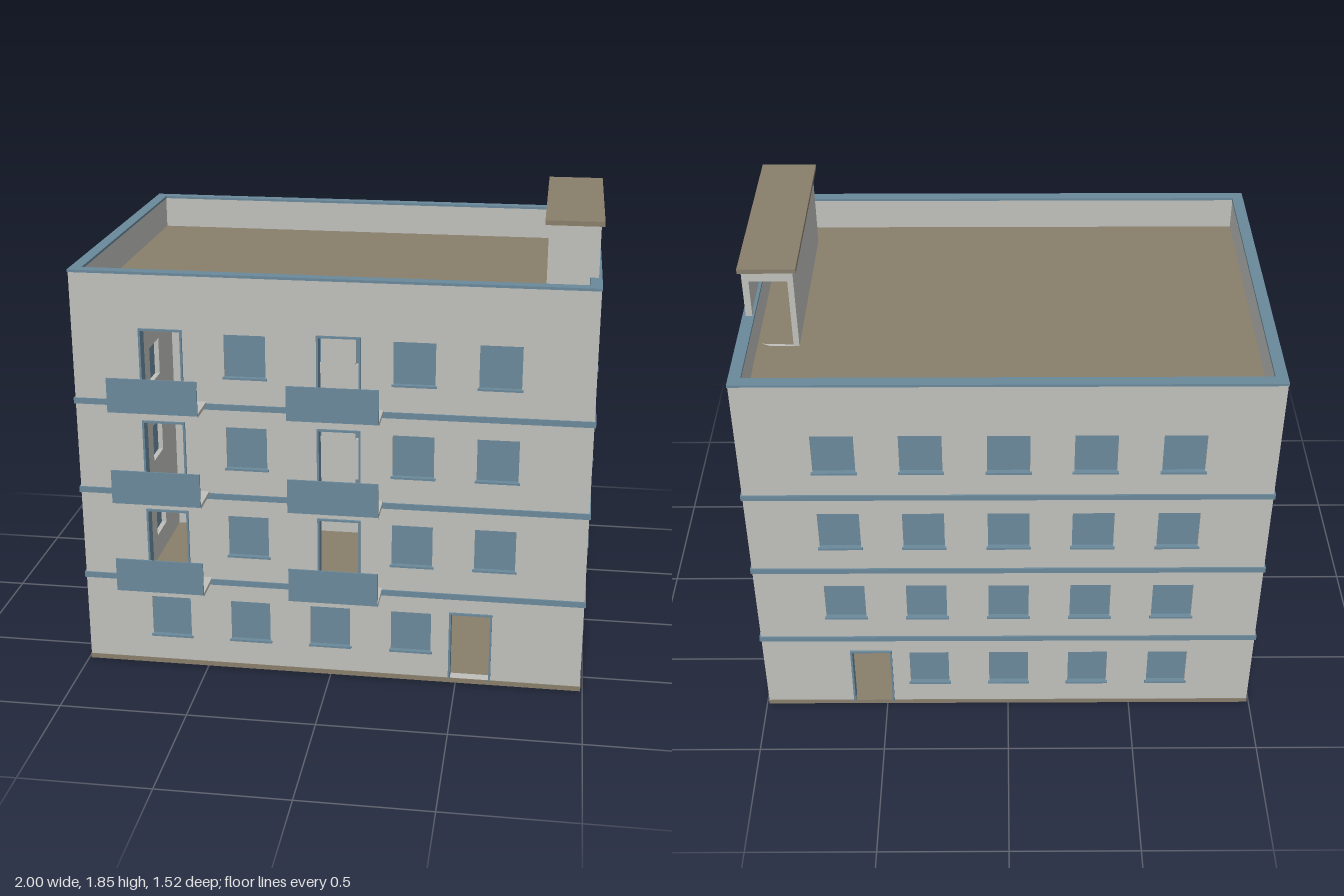
import * as THREE from 'three';

const mat = (name, color) => {
  const m = new THREE.MeshStandardMaterial({ color });
  m.name = name;
  return m;
};

export function createModel() {
  const wallGrey = mat('wall grey', 0xbfbfbb);
  const trimBlue = mat('trim blue', 0x6a899b);
  const roofTan = mat('roof tan', 0x887e6b);

  const model = new THREE.Group();
  model.name = 'apartmentBuilding';

  // Main dimensions
  const W = 1.98, D = 1.364, CZ = -0.07, T = 0.04, TOP = 1.628, ROOF = 1.5;
  const STOREY = 0.37, BASE = 0.02;
  const WIN_W = 0.158, WIN_H = 0.167, DOOR_W = 0.16, DOOR_H = 0.285;

  const add = (parent, name, geometry, material, x = 0, y = 0, z = 0) => {
    const mesh = new THREE.Mesh(geometry, material);
    mesh.name = name;
    mesh.position.set(x, y, z);
    parent.add(mesh);
    return mesh;
  };
  // Box given by its minimum and maximum corners
  const block = (parent, name, material, [x0, y0, z0], [x1, y1, z1]) =>
    add(parent, name, new THREE.BoxGeometry(x1 - x0, y1 - y0, z1 - z0), material,
      (x0 + x1) / 2, (y0 + y1) / 2, (z0 + z1) / 2);

  const trace = (path, x0, y0, x1, y1) => {
    path.moveTo(x0, y0);
    path.lineTo(x1, y0);
    path.lineTo(x1, y1);
    path.lineTo(x0, y1);
    path.closePath();
    return path;
  };
  // Rectangular plate with rectangular holes
  const plate = (rect, holes, depth) => {
    const shape = trace(new THREE.Shape(), ...rect);
    holes.forEach((h) => shape.holes.push(trace(new THREE.Path(), ...h)));
    return new THREE.ExtrudeGeometry(shape, { depth, bevelEnabled: false });
  };
  // Horizontal rectangular ring running round the building
  const ring = (name, w, d, t, y, h) => {
    const g = plate([-w / 2, -d / 2, w / 2, d / 2],
      [[-w / 2 + t, -d / 2 + t, w / 2 - t, d / 2 - t]], h);
    g.rotateX(-Math.PI / 2);
    add(model, name, g, trimBlue, 0, y, CZ);
  };

  // One facade: outer face at local z = 0, openings given as [x, floor]
  const facade = (name, width, windows, doors, x, z, turn) => {
    const g = new THREE.Group();
    g.name = name;
    g.position.set(x, 0, z);
    g.rotation.y = turn;
    model.add(g);
    const holes = [];
    for (const [cx, floor] of windows) {
      const y = 0.13 + floor * STOREY, x0 = cx - WIN_W / 2, x1 = cx + WIN_W / 2;
      holes.push([x0, y, x1, y + WIN_H]);
      block(g, 'windowPane', trimBlue, [x0, y, -0.018], [x1, y + WIN_H, -0.01]);
      block(g, 'windowSill', trimBlue, [x0 - 0.006, y - 0.007, -0.015], [x1 + 0.006, y + 0.001, 0.01]);
    }
    for (const [cx, floor] of doors) {
      const y = BASE + floor * STOREY, x0 = cx - DOOR_W / 2, x1 = cx + DOOR_W / 2;
      holes.push([x0, y, x1, y + DOOR_H]);
      // Open-bottomed door frame
      block(g, 'doorFrameSide', trimBlue, [x0 - 0.004, y, -T - 0.002], [x0 + 0.004, y + DOOR_H, 0.008]);
      block(g, 'doorFrameSide', trimBlue, [x1 - 0.004, y, -T - 0.002], [x1 + 0.004, y + DOOR_H, 0.008]);
      block(g, 'doorFrameTop', trimBlue, [x0 - 0.004, y + DOOR_H - 0.004, -T - 0.002],
        [x1 + 0.004, y + DOOR_H + 0.004, 0.008]);
    }
    add(g, 'wall', plate([-width / 2, 0.01, width / 2, TOP], holes, T), wallGrey, 0, 0, -T);
  };

  const grid = (xs, floors) => floors.flatMap((f) => xs.map((x) => [x, f]));
  const upper = [1, 2, 3];
  const balconyX = [-0.645, 0.035];

  facade('frontWall', W,
    [...grid([-0.645, -0.322, -0.002, 0.32], [0]), ...grid([-0.322, 0.32, 0.64], upper)],
    [[0.554, 0], ...grid(balconyX, upper)], 0, CZ + D / 2, 0);
  // Local x is mirrored on the back
  facade('backWall', W,
    [...grid([0.645, 0.322, 0.002, -0.32], [0]), ...grid([0.645, 0.322, 0.002, -0.32, -0.64], upper)],
    [[-0.554, 0]], 0, CZ - D / 2, Math.PI);
  for (const s of [1, -1]) {
    facade(s > 0 ? 'leftWall' : 'rightWall', D - 2 * T,
      grid([-0.322, 0, 0.322], [0, ...upper]), [], s * W / 2, CZ, s * Math.PI / 2);
  }

  // Ground slab and roof deck
  const hx = W / 2, hz = D / 2;
  block(model, 'groundSlab', roofTan, [-hx - 0.002, 0, CZ - hz - 0.002], [hx + 0.002, BASE, CZ + hz + 0.002]);
  block(model, 'roofDeck', roofTan, [-hx + T, ROOF - 0.02, CZ - hz + T], [hx - T, ROOF, CZ + hz - T]);

  // Floor bands and parapet coping
  for (const f of upper) ring('floorBand', W + 0.012, D + 0.012, 0.025, f * STOREY - 0.003, 0.023);
  ring('parapetCoping', W + 0.006, D + 0.006, T + 0.005, TOP, 0.01);

  // Balconies
  const face = CZ + hz;
  for (const [x, f] of grid(balconyX, upper)) {
    const y = BASE + f * STOREY, x0 = x - 0.175, x1 = x + 0.17;
    block(model, 'balconySlab', wallGrey, [x0, y - 0.008, face - 0.01], [x1, y + 0.007, 0.756]);
    block(model, 'balconyRail', trimBlue, [x0, y, 0.754], [x1, y + 0.135, 0.76]);
  }

  // Roof stairhouse, open towards the back
  const hutTop = 1.832, hutBack = -0.314, hutFront = 0.463, t = 0.02;
  const hut = new THREE.Group();
  hut.name = 'stairhouse';
  model.add(hut);
  block(hut, 'stairhouseInnerWall', wallGrey, [0.79, ROOF, hutBack + t], [0.79 + t, hutTop, hutFront]);
  block(hut, 'stairhouseOuterWall', wallGrey, [0.98 - t, ROOF, hutBack + t], [0.98, hutTop, hutFront]);
  block(hut, 'stairhouseFrontWall', wallGrey, [0.79 + t, ROOF, hutFront - t], [0.98 - t, hutTop, hutFront]);
  add(hut, 'stairhouseDoorWall',
    plate([0.79, ROOF - 0.01, 0.98, hutTop], [[0.812, ROOF, 0.955, 1.79]], t), wallGrey, 0, 0, hutBack);
  block(hut, 'stairhouseRoof', roofTan, [0.776, hutTop, -0.328], [0.992, 1.85, 0.476]);

  return model;
}
